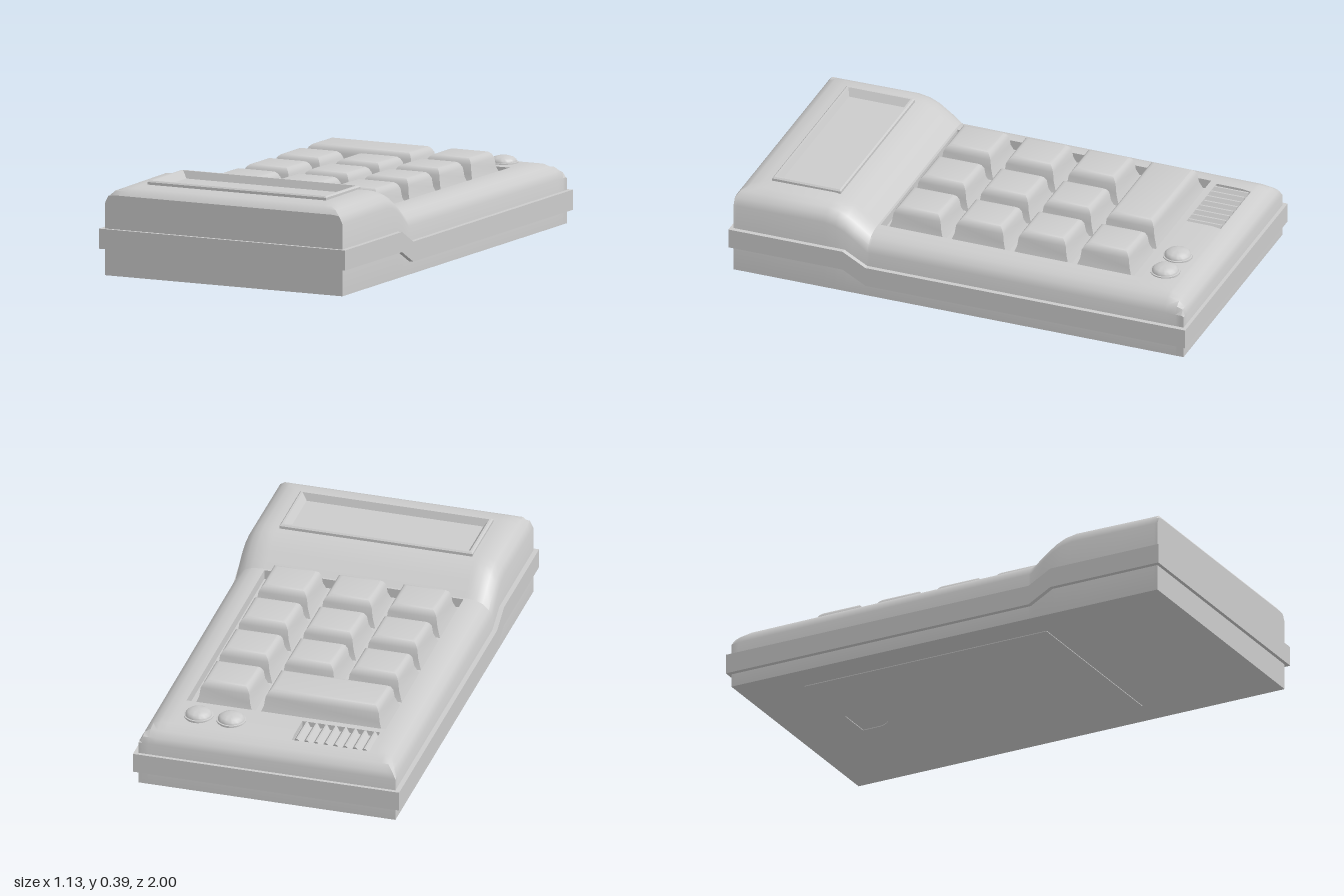
import * as THREE from 'three';
import { toCreasedNormals } from 'three/addons/utils/BufferGeometryUtils.js';

const material = new THREE.MeshStandardMaterial({ color: 0xcccccc });
const EPS = 2e-4;

// Rectangular pockets sunk into the top of the case: x0, x1, z0, z1, depth
const pockets = [
  [-0.425, 0.42, -0.72, 0.39, 0.04], // keypad
  [-0.4, 0.4, 0.585, 0.855, 0.04], // display
  [-0.41, -0.08, -0.9, -0.75, 0.022], // vent
];
// Side outline of the case top as [z, y], and the drop of its rounded long edges as [x, drop]
const outline = [
  [-0.985, 0.19], [-0.975, 0.215], [-0.95, 0.238], [-0.91, 0.255], [-0.86, 0.262], [0.4, 0.27],
  [0.46, 0.318], [0.5, 0.346], [0.54, 0.364], [0.59, 0.373], [0.9, 0.37], [0.945, 0.364],
  [0.97, 0.354], [0.985, 0.336],
];
const shoulder = [[0.44, 0], [0.475, 0.004], [0.505, 0.016], [0.53, 0.038], [0.545, 0.068]];

function lerpTable(table, t) {
  if (t <= table[0][0]) return table[0][1];
  for (let i = 1; i < table.length; i++) {
    const [a, va] = table[i - 1], [b, vb] = table[i];
    if (t <= b) return va + (vb - va) * (t - a) / (b - a);
  }
  return table[table.length - 1][1];
}

function topHeight(x, z) {
  const top = lerpTable(outline, z);
  const crown = lerpTable(outline, THREE.MathUtils.clamp(z, -0.86, 0.9));
  const y = Math.min(top, crown - lerpTable(shoulder, Math.abs(x)));
  const pocket = pockets.find(([x0, x1, z0, z1]) => x > x0 && x < x1 && z > z0 && z < z1);
  return pocket ? y - pocket[4] : y;
}

// Joins equal closed loops of points into a surface, optionally capping the last loop of four
function skin(loops, crease, cap = false) {
  const n = loops[0].length, index = [];
  for (let i = 0; i < loops.length - 1; i++) {
    for (let j = 0; j < n; j++) {
      const a = i * n + j, b = i * n + (j + 1) % n;
      index.push(a, b, a + n, b, b + n, a + n);
    }
  }
  if (cap) {
    const k = (loops.length - 1) * n;
    index.push(k, k + 1, k + 2, k, k + 2, k + 3);
  }
  const g = new THREE.BufferGeometry();
  g.setAttribute('position', new THREE.Float32BufferAttribute(loops.flat(2), 3));
  g.setIndex(index);
  return toCreasedNormals(g, crease);
}

// Stack of rectangles [half x, half z, y] closed at the last one
function rectStack(levels, crease = 0.6) {
  return skin(levels.map(([hx, hz, y]) => [[-hx, y, -hz], [-hx, y, hz], [hx, y, hz], [hx, y, -hz]]), crease, true);
}

function caseGeometry() {
  const bottom = 0.003;
  const edges = (a, b) => pockets.flatMap(p => [p[a] - EPS, p[a] + EPS, p[b] - EPS, p[b] + EPS]);
  const ascending = (a, b) => a - b;
  const xs = [...shoulder.flatMap(([x]) => [-x, x]), ...edges(0, 1)].sort(ascending);
  const zs = [...outline.map(p => p[0]), ...edges(2, 3)].sort(ascending);
  const section = (z, flat) => [
    [-0.545, bottom, z],
    ...xs.map(x => [x, flat ? bottom : topHeight(x, z), z]),
    [0.545, bottom, z],
  ];
  // Loops run front to back, with flattened sections closing both ends
  const loops = [section(zs[0], true), ...zs.map(z => section(z, false)), section(zs[zs.length - 1], true)];
  return skin(loops.reverse(), 0.6);
}

export function createModel() {
  const model = new THREE.Group();
  const add = (name, geometry, x = 0, y = 0, z = 0) => {
    const mesh = new THREE.Mesh(geometry, material);
    mesh.name = name;
    mesh.position.set(x, y, z);
    model.add(mesh);
    return mesh;
  };

  add('case', caseGeometry());

  // Stepped band around the case, drawn from the side and extruded across the width
  const lower = [[-1, 0.058], [0.4, 0.058], [0.5, 0.113], [1, 0.113]];
  const upper = lower.map(([z, y]) => [z, y + 0.083]).reverse();
  const bandShape = new THREE.Shape([...lower, ...upper].map(([z, y]) => new THREE.Vector2(-z, y)));
  const band = new THREE.ExtrudeGeometry(bandShape, { depth: 1.13, bevelEnabled: false });
  band.translate(0, 0, -0.565).rotateY(Math.PI / 2);
  add('band', band);

  // Display: raised rim, sloping inner walls and sunken screen
  add('display', rectStack([
    [0.41, 0.15, 0.35], [0.41, 0.15, 0.381], [0.404, 0.144, 0.387],
    [0.396, 0.136, 0.387], [0.375, 0.124, 0.356], [0.37, 0.12, 0.356],
  ]), 0, 0, 0.72);

  // Keys: inset from the base outline and height
  const keyProfile = [[0, 0.225], [0.017, 0.27], [0.022, 0.308], [0.03, 0.324], [0.04, 0.333], [0.052, 0.336]];
  const key = halfX => rectStack(keyProfile.map(([inset, y]) => [halfX - inset, 0.125 - inset, y]), 0.8);
  const square = key(0.125);
  [0.25, -0.024, -0.298].forEach(z => [-0.28, -0.005, 0.27].forEach(x => add('key', square, x, 0, z)));
  add('key', square, 0.27, 0, -0.574);
  add('wideKey', key(0.2625), -0.1425, 0, -0.574);

  // Vent ribs
  const rib = rectStack([[0.0206, 0.066, 0.238], [0.0035, 0.074, 0.263]], 0.3);
  for (let i = 0; i < 8; i++) add('ventRib', rib, -0.389 + i * 0.0412, 0, -0.825);

  // Round domed buttons
  const dome = [[0.061, 0.25], [0.061, 0.267], [0.055, 0.268], [0.053, 0.276], [0.044, 0.284], [0.026, 0.29], [0, 0.292]];
  const button = toCreasedNormals(new THREE.LatheGeometry(dome.map(p => new THREE.Vector2(...p)), 32), 0.7);
  [0.2, 0.338].forEach(x => add('roundButton', button, x, 0, -0.823));

  // Battery cover with a thumb notch at the back edge
  const cover = new THREE.Shape([[-0.41, -0.4], [0.41, -0.4], [0.41, 0.72], [-0.41, 0.72]].map(p => new THREE.Vector2(...p)));
  const notch = new THREE.Path();
  notch.moveTo(-0.075, 0.71);
  notch.lineTo(-0.075, 0.64);
  notch.absarc(0, 0.64, 0.075, Math.PI, 2 * Math.PI, false);
  notch.lineTo(0.075, 0.71);
  notch.closePath();
  cover.holes.push(notch);
  const coverGeometry = new THREE.ExtrudeGeometry(cover, { depth: 0.004, bevelEnabled: false, curveSegments: 12 });
  coverGeometry.rotateX(-Math.PI / 2);
  add('batteryCover', coverGeometry);

  return model;
}
